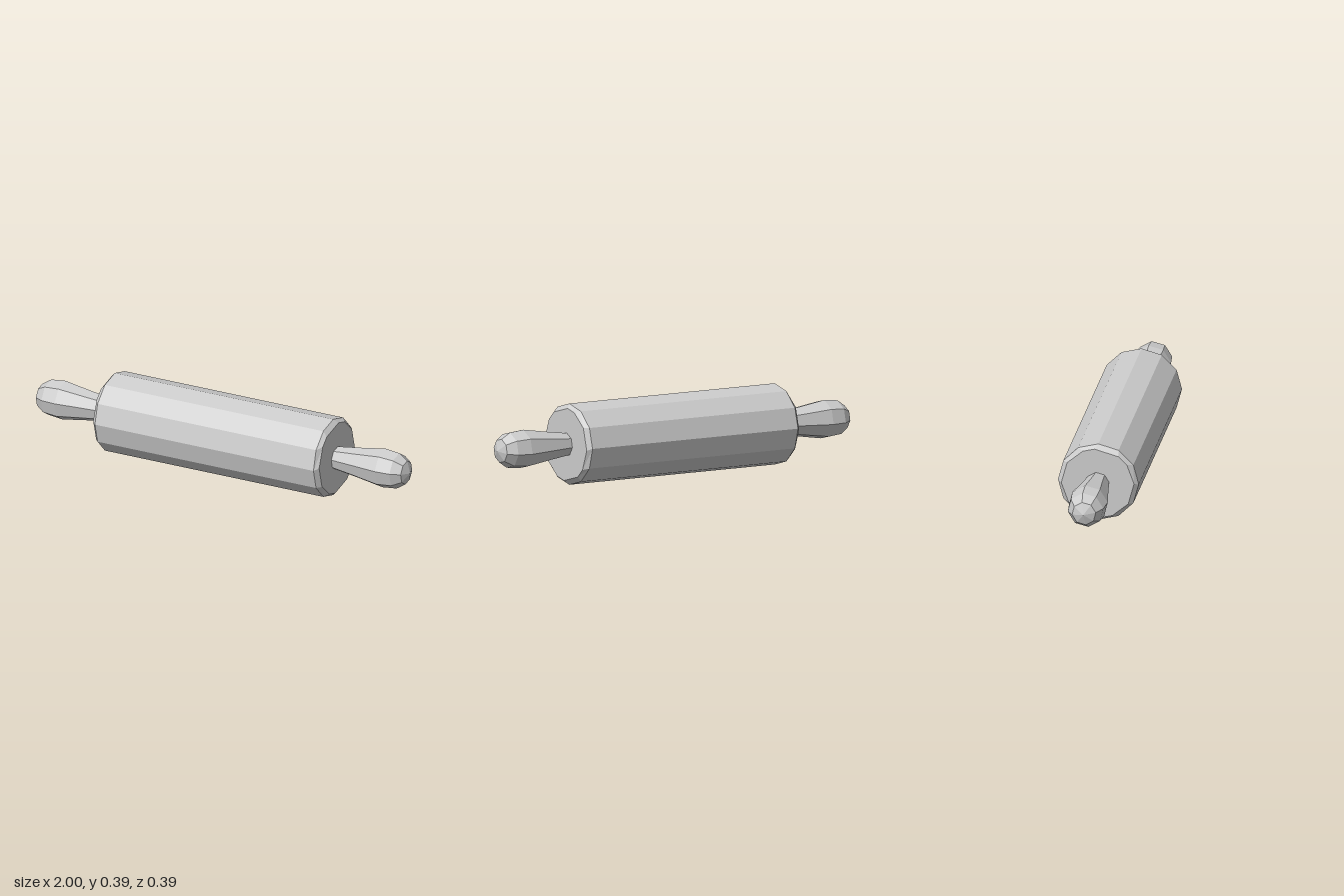
import * as THREE from 'three';

const DEG = Math.PI / 180;
const AXIS_Y = 0.195;

// Turns a profile of [x, radius] pairs around the x axis
function turn(profile, sides, startDeg) {
  const points = profile.map(([x, r]) => new THREE.Vector2(r, x));
  return new THREE.LatheGeometry(points, sides, startDeg * DEG);
}

export function createModel() {
  const group = new THREE.Group();
  group.name = 'rollingPin';
  const grey = new THREE.MeshStandardMaterial({ color: 0xcccccc, flatShading: true });
  grey.name = 'plain grey';

  const add = (name, geometry) => {
    const mesh = new THREE.Mesh(geometry, grey);
    mesh.name = name;
    mesh.rotation.z = -Math.PI / 2;
    mesh.position.y = AXIS_Y;
    group.add(mesh);
  };

  // Twelve-sided barrel with chamfered ends
  const END = 0.607, CAP = 0.174;
  const barrel = turn(
    [[-END, 0], [-END, CAP], [-0.587, 0.193], [0.587, 0.193], [END, CAP], [END, 0]], 12, 0);

  // The cap outline is slightly uneven: slide its corners around the axis
  const capAngles = [3, 37, 55, 95, 114, 147, 183, 217, 235, 275, 294, 327];
  const pos = barrel.attributes.position;
  for (let i = 0; i < pos.count; i++) {
    const r = Math.hypot(pos.getX(i), pos.getZ(i));
    if (Math.abs(pos.getY(i)) < END - 0.001 || r < 0.01) continue;
    const turnDeg = Math.atan2(-pos.getX(i), pos.getZ(i)) / DEG;
    const a = capAngles[(Math.round(turnDeg / 30) + 12) % 12] * DEG;
    pos.setX(i, -CAP * Math.sin(a));
    pos.setZ(i, CAP * Math.cos(a));
  }
  barrel.computeVertexNormals();
  add('barrel', barrel);

  // Eight-sided handles swelling towards a rounded tip
  const handle = [[0.58, 0.054], [0.607, 0.056], [0.72, 0.072], [0.86, 0.094],
    [0.935, 0.086], [0.98, 0.057], [1, 0]];
  add('leftHandle', turn(handle, 8, -9));
  add('rightHandle', turn(handle.map(([x, r]) => [-x, r]).reverse(), 8, -9));

  return group;
}
